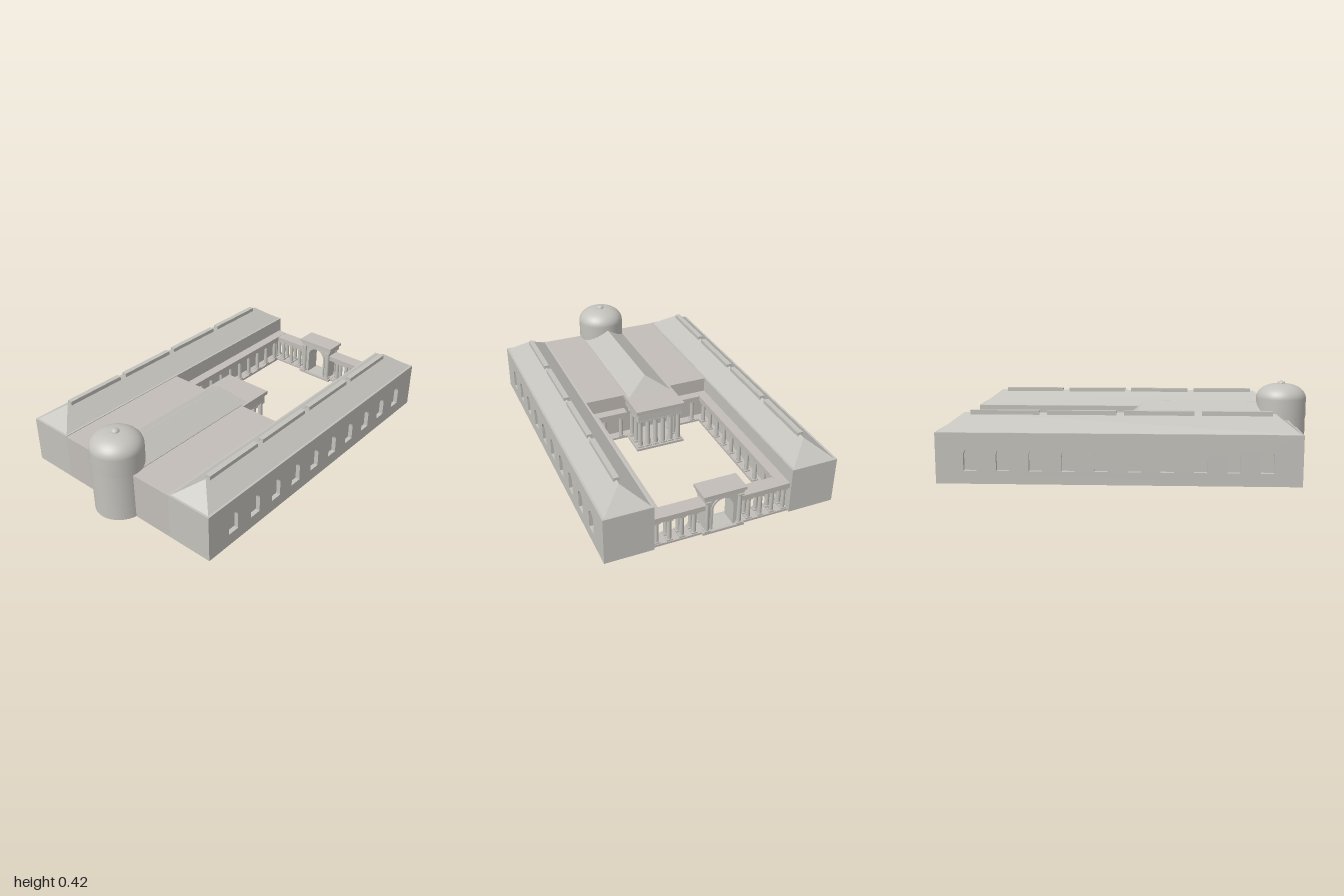
import * as THREE from 'three';

const stone = new THREE.MeshStandardMaterial({ color: 0xc4c2bc });
stone.name = 'pale stone';
const paving = new THREE.MeshStandardMaterial({ color: 0xc2bdb8 });
paving.name = 'warm stone';

function add(parent, name, geometry, material = stone) {
  const mesh = new THREE.Mesh(geometry, material);
  mesh.name = name;
  parent.add(mesh);
  return mesh;
}

// Box given by its limits on each axis
function box(parent, name, [x0, x1], [y0, y1], [z0, z1], material) {
  const g = new THREE.BoxGeometry(x1 - x0, y1 - y0, z1 - z0);
  g.translate((x0 + x1) / 2, (y0 + y1) / 2, (z0 + z1) / 2);
  return add(parent, name, g, material);
}

// Hipped roof: a box whose top edges are drawn in to a ridge
function hipRoof(parent, name, [x0, x1], [y0, y1], halfWidth, [r0, r1], z = 0) {
  const g = new THREE.BoxGeometry(1, 1, 1).toNonIndexed();
  const p = g.attributes.position;
  for (let i = 0; i < p.count; i++) {
    const top = p.getY(i) > 0, east = p.getX(i) > 0;
    const side = Math.sign(p.getZ(i)) * (top ? 0.001 : halfWidth);
    p.setXYZ(i, top ? (east ? r1 : r0) : (east ? x1 : x0), top ? y1 : y0, z + side);
  }
  g.computeVertexNormals();
  return add(parent, name, g);
}

// Outline of a round-headed opening
function archPath(x, y0, width, top) {
  const r = width / 2;
  const path = new THREE.Path();
  path.moveTo(x - r, y0);
  path.lineTo(x + r, y0);
  path.lineTo(x + r, top - r);
  path.absarc(x, top - r, r, 0, Math.PI, false);
  path.lineTo(x - r, y0);
  return path;
}

function rectangle(x0, x1, y0, y1) {
  return new THREE.Shape([[x0, y0], [x1, y0], [x1, y1], [x0, y1]].map(c => new THREE.Vector2(...c)));
}

function column(parent, x, z, y0, y1, r) {
  const h = y1 - y0;
  const g = new THREE.Group();
  g.name = 'column';
  g.position.set(x, y0, z);
  const shaft = new THREE.CylinderGeometry(r * 0.85, r, h, 12);
  add(g, 'columnShaft', shaft.translate(0, h / 2, 0));
  box(g, 'columnBase', [-r * 1.25, r * 1.25], [0, 0.008], [-r * 1.25, r * 1.25]);
  box(g, 'columnCapital', [-r * 1.25, r * 1.25], [h - 0.009, h], [-r * 1.25, r * 1.25]);
  parent.add(g);
}

function columnRow(parent, from, to, count, y0, y1, r) {
  for (let i = 0; i < count; i++) {
    const t = i / (count - 1);
    column(parent, from[0] + (to[0] - from[0]) * t, from[1] + (to[1] - from[1]) * t, y0, y1, r);
  }
}

// Long side wing with ten arched niches, plus its courtyard gallery
function wing() {
  const g = new THREE.Group();
  g.name = 'wing';
  box(g, 'wingBody', [-0.827, 0.827], [0, 0.235], [0.335, 0.545]);
  const wall = rectangle(-0.827, 0.827, 0, 0.235);
  for (let i = 0; i < 10; i++) {
    wall.holes.push(archPath(-0.669 + i * 0.1487, 0.06, 0.06, 0.162));
  }
  const face = new THREE.ExtrudeGeometry(wall, { depth: 0.022, bevelEnabled: false, curveSegments: 10 });
  add(g, 'nicheWall', face.translate(0, 0, 0.545));
  hipRoof(g, 'wingRoof', [-0.817, 0.817], [0.235, 0.312], 0.106, [-0.715, 0.715], 0.451);
  for (let i = 0; i < 4; i++) {
    const x = -0.7 + i * 0.355;
    box(g, 'ridgeCap', [x, x + 0.32], [0.3, 0.323], [0.438, 0.464]);
  }
  box(g, 'galleryRoof', [-0.08, 0.815], [0.13, 0.157], [0.285, 0.335], paving);
  box(g, 'galleryFloor', [-0.08, 0.815], [0, 0.012], [0.285, 0.335], paving);
  columnRow(g, [-0.01, 0.3], [0.725, 0.3], 10, 0.012, 0.13, 0.011);
  return g;
}

// Gateway with an arch, corner columns and a cornice
function gateway() {
  const g = new THREE.Group();
  g.name = 'gateway';
  const shape = rectangle(-0.085, 0.085, 0.012, 0.19);
  shape.holes.push(archPath(0, 0.013, 0.1, 0.172));
  const arch = new THREE.ExtrudeGeometry(shape, { depth: 0.07, bevelEnabled: false, curveSegments: 14 });
  arch.rotateY(Math.PI / 2);
  add(g, 'gateArch', arch.translate(0.74, 0, 0));
  const trimShape = new THREE.Shape(archPath(0, 0.013, 0.118, 0.181).getPoints(14));
  trimShape.holes.push(archPath(0, 0.0131, 0.1, 0.172));
  const trim = new THREE.ExtrudeGeometry(trimShape, { depth: 0.08, bevelEnabled: false, curveSegments: 14 });
  trim.rotateY(Math.PI / 2);
  add(g, 'archTrim', trim.translate(0.735, 0, 0));
  box(g, 'gateStep', [0.722, 0.827], [0, 0.012], [-0.103, 0.103], paving);
  box(g, 'gateFrieze', [0.728, 0.822], [0.18, 0.2], [-0.097, 0.097]);
  box(g, 'gateCornice', [0.72, 0.83], [0.2, 0.215], [-0.105, 0.105], paving);
  for (const x of [0.736, 0.814]) {
    for (const z of [-0.08, 0.08]) column(g, x, z, 0.012, 0.18, 0.011);
  }
  return g;
}

export function createModel() {
  const model = new THREE.Group();
  model.name = 'courtyardBuilding';
  const plan = new THREE.Group();
  plan.name = 'building';
  plan.rotation.y = 0.715;
  model.add(plan);

  // Mirrored side wings
  const left = wing(), right = wing();
  right.scale.z = -1;
  plan.add(left, right);

  // Flat-roofed block and the hipped hall between the wings
  box(plan, 'linkBlock', [-0.827, -0.082], [0, 0.232], [-0.335, 0.335], paving);
  box(plan, 'hallBody', [-0.8, -0.06], [0.2, 0.235], [-0.116, 0.116]);
  hipRoof(plan, 'hallRoof', [-0.81, -0.04], [0.235, 0.31], 0.116, [-0.8, -0.11]);

  // Portico facing the courtyard
  box(plan, 'porticoFloor', [-0.082, 0.11], [0, 0.012], [-0.13, 0.13], paving);
  box(plan, 'porticoFrieze', [-0.082, 0.1], [0.172, 0.215], [-0.12, 0.12]);
  box(plan, 'porticoCornice', [-0.082, 0.11], [0.215, 0.2345], [-0.13, 0.13], paving);
  columnRow(plan, [0.085, -0.105], [0.085, 0.105], 6, 0.012, 0.172, 0.013);
  for (const z of [-0.105, 0.105]) {
    columnRow(plan, [0.03, z], [-0.03, z], 2, 0.012, 0.172, 0.013);
  }

  // Short galleries beside the portico and open colonnades beside the gateway
  for (const s of [-1, 1]) {
    const z = [0.13, 0.335].map(v => v * s).sort((a, b) => a - b);
    box(plan, 'innerGalleryRoof', [-0.082, -0.035], [0.13, 0.156], z, paving);
    box(plan, 'innerGalleryFloor', [-0.082, -0.035], [0, 0.011], z, paving);
    columnRow(plan, [-0.05, s * 0.16], [-0.05, s * 0.25], 2, 0.011, 0.13, 0.011);
    const c = [0.08, 0.335].map(v => v * s).sort((a, b) => a - b);
    box(plan, 'colonnadeRoof', [0.743, 0.815], [0.13, 0.156], c, paving);
    box(plan, 'colonnadeFloor', [0.743, 0.815], [0, 0.011], c, paving);
    for (const x of [0.76, 0.798]) {
      columnRow(plan, [x, s * 0.135], [x, s * 0.315], 4, 0.011, 0.13, 0.011);
    }
  }
  plan.add(gateway());

  // Domed rotunda
  add(plan, 'rotundaDrum', new THREE.CylinderGeometry(0.123, 0.123, 0.235, 40).translate(-0.805, 0.1175, 0));
  const profile = [[0.123, 0.235], [0.125, 0.236], [0.125, 0.33]];
  for (let i = 1; i <= 10; i++) {
    const a = (i / 10) * Math.PI / 2;
    profile.push([0.02 + 0.105 * Math.cos(a), 0.33 + 0.073 * Math.sin(a)]);
  }
  profile.push([0, 0.404]);
  const dome = new THREE.LatheGeometry(profile.map(c => new THREE.Vector2(...c)), 40);
  add(plan, 'rotundaDome', dome.translate(-0.805, 0, 0));
  add(plan, 'domeCap', new THREE.SphereGeometry(0.02, 16, 8).scale(1, 0.7, 1).translate(-0.805, 0.403, 0));

  return model;
}
